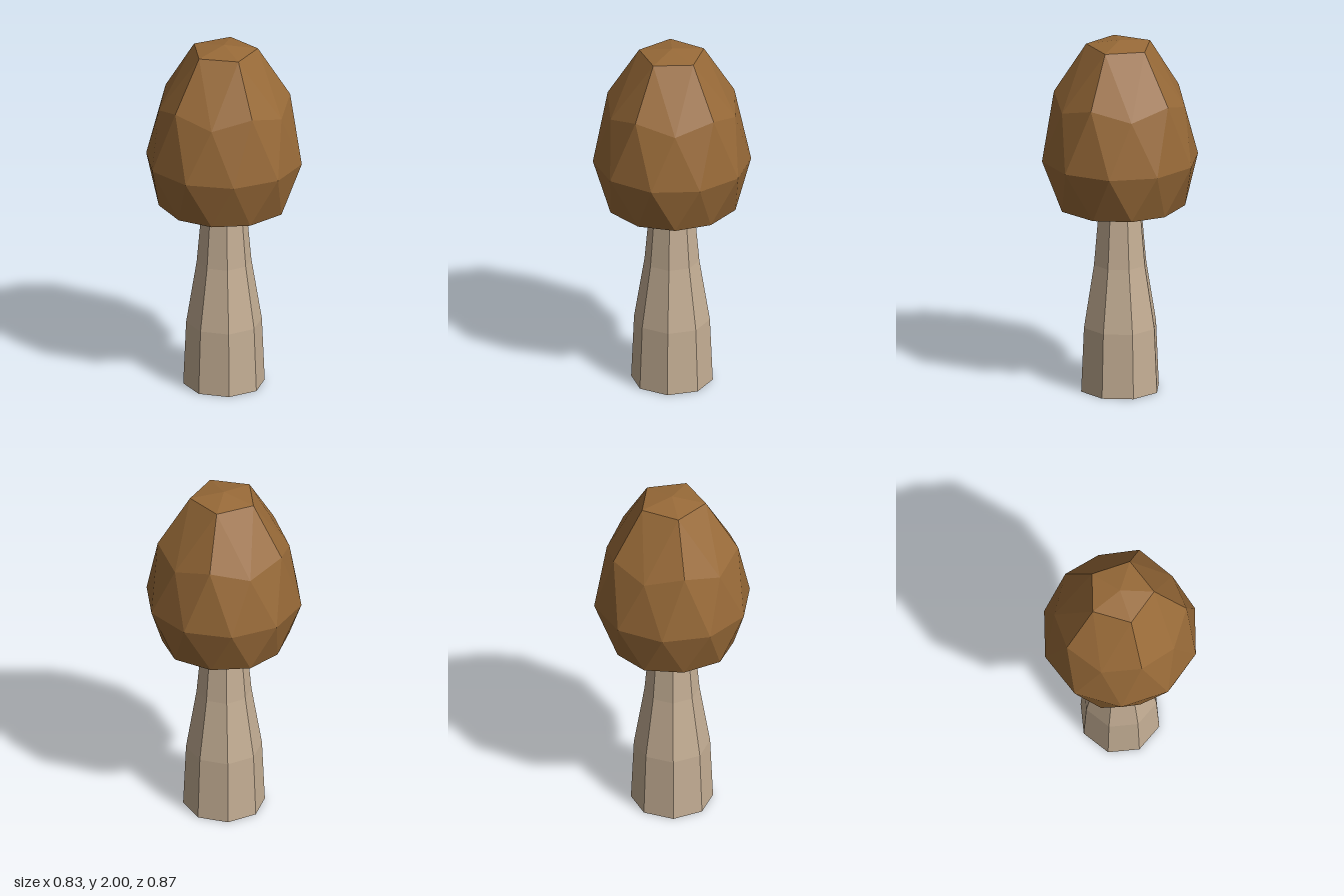
import * as THREE from 'three';

const material = (color) =>
  new THREE.MeshStandardMaterial({ color, flatShading: true, side: THREE.DoubleSide });

function part(name, geometry, color) {
  const mesh = new THREE.Mesh(geometry, material(color));
  mesh.name = name;
  return mesh;
}

// Ring of points; radius and height alternate between even and odd points.
function ring(count, startDegrees, radii, heights) {
  return Array.from({ length: count }, (_, i) => {
    const a = THREE.MathUtils.degToRad(startDegrees + (i * 360) / count);
    const r = radii[i % radii.length];
    return [r * Math.cos(a), heights[i % heights.length], r * Math.sin(a)];
  });
}

function fromTriangles(triangles) {
  const geometry = new THREE.BufferGeometry();
  geometry.setAttribute('position', new THREE.Float32BufferAttribute(triangles.flat(2), 3));
  geometry.computeVertexNormals();
  return geometry;
}

export function createModel() {
  const model = new THREE.Group();
  model.name = 'mushroom';

  // Stem: eight-sided, open at the base, tapering upwards
  const stemProfile = [[0.225, 0], [0.209, 0.365], [0.151, 0.72], [0.118, 1.09]];
  const stem = new THREE.LatheGeometry(stemProfile.map(([r, y]) => new THREE.Vector2(r, y)), 8);
  model.add(part('stem', stem, 0xc4ae94));

  // Cap: a stretched, once-divided icosahedron cut off at the rim
  const apex = [0, 2, 0];
  const crown = ring(5, 0, [0.187], [1.97]);
  const shoulder = ring(10, 0, [0.365, 0.36], [1.69, 1.63]);
  const widest = ring(10, 18, [0.434], [1.325]);
  const rim = ring(10, 0, [0.34, 0.36], [1.055, 1.065]);
  const cap = [];
  for (let k = 0; k < 5; k++) {
    const next = crown[(k + 1) % 5];
    const [before, at, after] = [2 * k + 9, 2 * k, 2 * k + 1].map((i) => shoulder[i % 10]);
    cap.push([apex, next, crown[k]], [crown[k], next, after]);
    cap.push([crown[k], after, at], [crown[k], at, before]);
  }
  for (let j = 0; j < 10; j++) {
    const n = (j + 1) % 10;
    cap.push([shoulder[j], shoulder[n], widest[j]], [shoulder[n], widest[n], widest[j]]);
    cap.push([widest[j], rim[n], rim[j]], [widest[j], widest[n], rim[n]]);
  }
  model.add(part('cap', fromTriangles(cap), 0x986a38));

  // Underside: shallow hollow inside the rim
  const hub = [0, 1.085, 0];
  const underside = rim.map((p, j) => [hub, p, rim[(j + 1) % 10]]);
  model.add(part('capUnderside', fromTriangles(underside), 0x80735f));

  return model;
}
